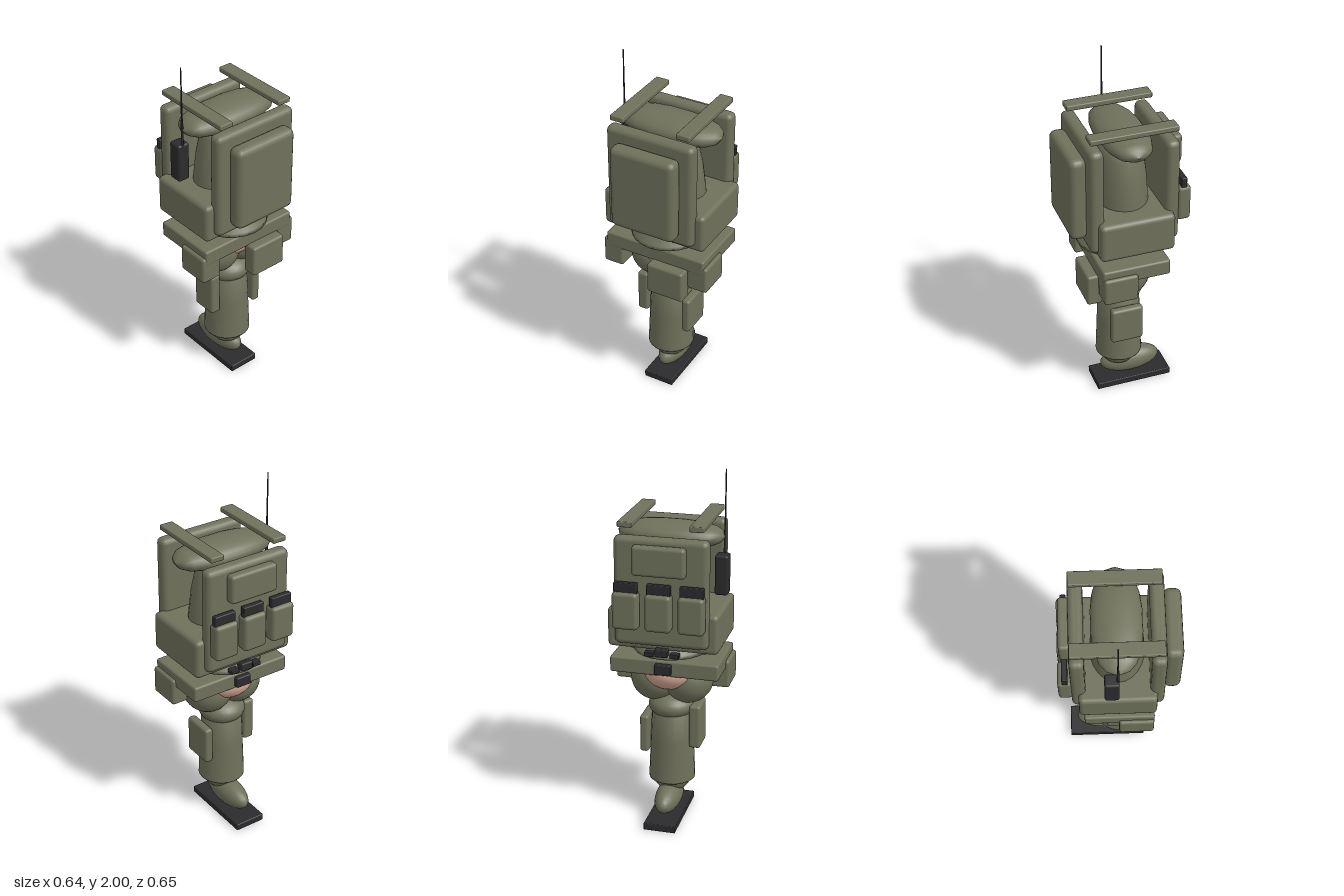
import * as THREE from 'three';
import { RoundedBoxGeometry } from 'three/addons/geometries/RoundedBoxGeometry.js';

export function createModel() {
  const model = new THREE.Group();
  const material = (name, color) => {
    const m = new THREE.MeshStandardMaterial({ color });
    m.name = name;
    return m;
  };
  const olive = material('olive', 0x6f715b);
  const black = material('black', 0x2b2b2d);
  const skin = material('skin', 0xd2a693);

  const add = (name, geometry, mat) => {
    const mesh = new THREE.Mesh(geometry, mat);
    mesh.name = name;
    model.add(mesh);
    return mesh;
  };
  // Rounded box given by its extents on each axis
  const box = (name, [x0, x1], [y0, y1], [z0, z1], radius = 0.015, mat = olive) => {
    const g = new RoundedBoxGeometry(x1 - x0, y1 - y0, z1 - z0, 2, radius);
    add(name, g, mat).position.set((x0 + x1) / 2, (y0 + y1) / 2, (z0 + z1) / 2);
  };
  const ball = (name, [x, y, z], [rx, ry, rz], mat = olive) => {
    const mesh = add(name, new THREE.SphereGeometry(1, 24, 16), mat);
    mesh.position.set(x, y, z);
    mesh.scale.set(rx, ry, rz);
  };
  // Elliptical rings of [y, radius x, radius z], joined into a tube
  const rings = (name, list, mat, z = 0) => {
    const sides = 24, position = [], index = [];
    list.forEach(([y, rx, rz], j) => {
      for (let i = 0; i < sides; i++) {
        const a = (i / sides) * Math.PI * 2, b = (i + 1) % sides;
        position.push(Math.sin(a) * rx, y, z + Math.cos(a) * rz);
        if (j === 0) continue;
        const p = (j - 1) * sides, q = j * sides;
        index.push(p + i, p + b, q + b, p + i, q + b, q + i);
      }
    });
    const g = new THREE.BufferGeometry();
    g.setAttribute('position', new THREE.Float32BufferAttribute(position, 3));
    g.setIndex(index);
    g.computeVertexNormals();
    return add(name, g, mat);
  };

  // Foot and leg
  box('sole', [-0.09, 0.09], [0, 0.04], [-0.295, 0.15], 0.005, black);
  ball('boot', [0, 0.117, -0.072], [0.072, 0.077, 0.178]);
  ball('ankle', [0, 0.235, -0.002], [0.112, 0.115, 0.112]);
  rings('trouserLeg', [[0.215, 0, 0], [0.215, 0.13, 0.132], [0.22, 0.13, 0.132],
    [0.45, 0.12, 0.124], [0.66, 0.11, 0.115], [0.66, 0, 0]], olive, -0.005);
  ball('upperLeg', [0, 0.66, -0.005], [0.13, 0.078, 0.135]);
  for (const s of [-1, 1]) ball('hip', [s * 0.092, 0.82, -0.003], [0.14, 0.14, 0.143]);
  ball('pelvis', [0, 0.88, -0.02], [0.16, 0.115, 0.177], skin);
  box('thighPouchLeft', [0.115, 0.165], [0.38, 0.598], [-0.095, 0.09], 0.016);
  box('thighPouchRight', [-0.175, -0.11], [0.425, 0.678], [-0.075, 0.075], 0.016);

  // Belt and its pouches
  box('belt', [-0.3, 0.3], [0.89, 0.98], [-0.195, 0.185], 0.012);
  box('beltBuckle', [-0.045, 0.045], [0.905, 0.965], [-0.222, -0.19], 0.006, black);
  box('beltPouch', [-0.32, -0.2], [0.78, 0.937], [-0.008, 0.183]);
  box('beltPouch', [0.2, 0.32], [0.78, 0.937], [-0.008, 0.183]);
  box('frontPouch', [-0.015, 0.203], [0.715, 0.9], [0.158, 0.243]);

  // Waist and torso
  const waist = rings('waist', [[0.94, 0.15, 0.15], [1.06, 0.15, 0.15]], skin);
  waist.name = 'waist';
  rings('vestSkirt', [[1.0, 0, 0], [1.0, 0.212, 0.23], [1.02, 0.208, 0.225],
    [1.06, 0.18, 0.19], [1.1, 0.17, 0.17]], olive);
  rings('torso', [[1.06, 0.2, 0.148], [1.27, 0.195, 0.147], [1.42, 0.175, 0.138],
    [1.53, 0.15, 0.124], [1.6, 0.12, 0.1], [1.62, 0, 0]], olive, -0.01);
  const profile = [[0, -0.293], [0.06, -0.27], [0.095, -0.23], [0.121, -0.15], [0.132, -0.06],
    [0.132, 0.06], [0.121, 0.15], [0.095, 0.23], [0.06, 0.27], [0, 0.293]];
  const shoulders = add('shoulders',
    new THREE.LatheGeometry(profile.map(([r, y]) => new THREE.Vector2(r, y)), 24), olive);
  shoulders.rotation.z = -Math.PI / 2;
  shoulders.scale.set(0.53, 1, 1);
  shoulders.position.set(0.002, 1.641, -0.012);

  // Small skirt clips
  for (const s of [-1, 1]) {
    for (const z of [-0.085, 0.08])
      box('sideClip', [s * 0.2 - 0.012, s * 0.2 + 0.012], [1.0, 1.03], [z - 0.01, z + 0.01], 0.004, black);
    box('backClip', [s * 0.07 - 0.025, s * 0.07 + 0.025], [1.015, 1.04], [-0.24, -0.2], 0.004, black);
  }
  box('skirtBuckle', [-0.035, 0.035], [1.02, 1.065], [-0.25, -0.2], 0.006, black);

  // Armoured vest
  box('waistGuard', [-0.303, 0.303], [1.047, 1.267], [-0.22, 0.195], 0.025);
  box('frontPlate', [-0.255, 0.255], [1.08, 1.685], [0.157, 0.235], 0.03);
  box('frontPack', [-0.19, 0.19], [1.14, 1.62], [0.228, 0.322], 0.035);
  box('backPlate', [-0.255, 0.255], [1.08, 1.672], [-0.257, -0.18], 0.03);
  box('upperPouch', [-0.143, 0.143], [1.48, 1.64], [-0.308, -0.25], 0.018);
  for (const x of [-0.177, 0, 0.177]) {
    box('magazinePouch', [x - 0.07, x + 0.07], [1.185, 1.387], [-0.324, -0.25], 0.02);
    box('magazine', [x - 0.063, x + 0.063], [1.3, 1.438], [-0.301, -0.27], 0.005, black);
  }
  for (const s of [-1, 1])
    box('shoulderStrap', [s * 0.192 - 0.039, s * 0.192 + 0.039], [1.72, 1.75], [-0.252, 0.225], 0.006);

  // Radio with its aerial
  box('radio', [-0.319, -0.248], [1.337, 1.555], [-0.083, -0.006], 0.012, black);
  const rod = (name, r0, r1, y0, y1) => {
    const g = new THREE.CylinderGeometry(r1, r0, y1 - y0, 8);
    add(name, g, black).position.set(-0.288, (y0 + y1) / 2, -0.013);
  };
  rod('aerialBase', 0.008, 0.006, 1.54, 1.7);
  rod('aerial', 0.005, 0.003, 1.68, 2.0);

  return model;
}
